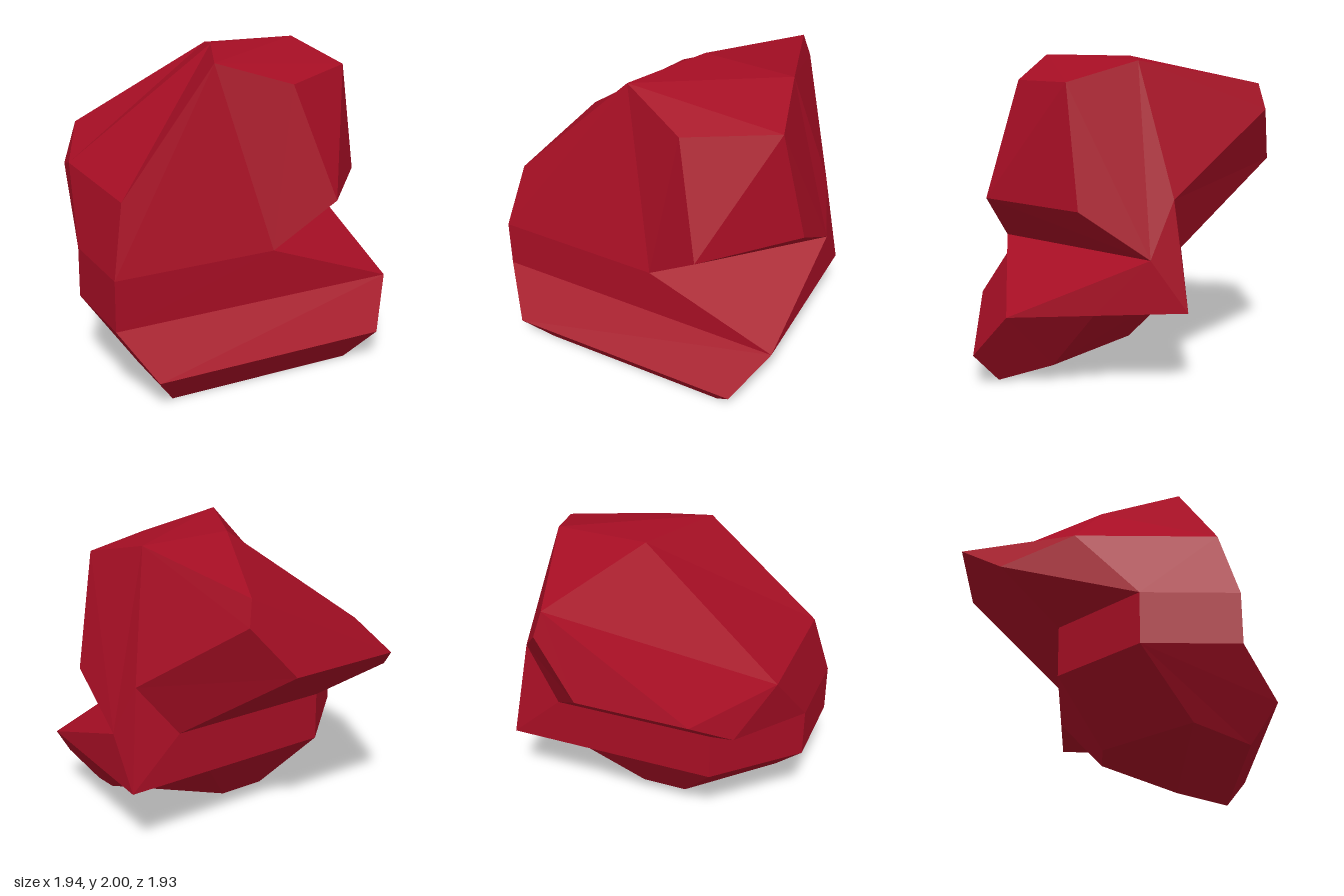
import * as THREE from 'three';

// Corner points of the faceted rock, grouped by level
const P = {
  // foot
  toeL: [-0.63, 0, 0.82], toeR: [0.63, 0, 0.82],
  noseL: [-0.78, 0.21, 0.97], noseR: [0.78, 0.21, 0.97],
  soleR: [0.7, 0.11, 0.48], soleL: [-0.71, 0.11, 0.48],
  heelR: [0.11, 0.11, -0.05], heelL: [-0.2, 0.11, -0.05],
  // lower rim of the middle band
  rimFL: [-0.97, 0.5, 0.76], rimFR: [0.97, 0.5, 0.76], rimR: [0.97, 0.5, 0.24],
  rimBR: [0.97, 0.5, -0.33], rimB: [0.4, 0.5, -0.33], rimBL: [-0.47, 0.5, -0.33], rimL: [-0.97, 0.5, 0.16],
  // upper rim of the middle band
  topFL: [-0.97, 0.83, 0.76], notchF: [0.11, 0.83, 0.76], notchR: [0.97, 0.83, -0.1],
  topB: [0.62, 0.83, -0.33], topBL: [-0.47, 0.83, -0.33], topL: [-0.97, 0.83, 0.16],
  // leaning head
  browF: [0.49, 1.14, 0.88], browR: [0.97, 1.13, 0.33], crestF: [0.28, 1.86, 0.67], crestR: [0.82, 1.88, 0.39],
  peakF: [-0.17, 2, 0.48], peakR: [0.69, 2, -0.05], peakB: [0.08, 2, -0.06],
  shoulderF: [-0.87, 1.27, 0.65], shoulderB: [-0.87, 1.27, -0.23],
  waist: [0.88, 1.18, -0.25], tailTop: [0.43, 1.84, -0.84], tailSide: [0.47, 1.68, -0.88],
  tailR: [0.18, 1.33, -0.96], tailL: [-0.55, 1.33, -0.96], tailCorner: [-0.74, 1.12, -0.69],
};

// Facets per part, corners counter-clockwise from outside
const parts = {
  foot: [
    'toeL toeR noseR noseL', 'noseL noseR rimFR rimFL',
    'rimFR noseR toeR soleR rimR', 'rimB rimR soleR heelR',
    'rimBL rimB heelR heelL', 'rimBL heelL soleL rimL',
    'rimL soleL toeL noseL rimFL',
    'toeR toeL soleL soleR', 'soleR soleL heelL heelR',
  ],
  middleBand: [
    'rimFL rimFR notchF topFL', 'notchF rimFR notchR',
    'notchR rimFR rimR rimBR', 'rimBR rimR rimB',
    'topB rimBR rimB rimBL topBL', 'rimL topL topBL rimBL', 'rimFL topFL topL rimL',
    'notchR rimBR waist', 'waist rimBR topB',
  ],
  head: [
    // front and notch
    'topFL notchF peakF shoulderF', 'notchF browF crestF peakF',
    'browF browR crestR crestF', 'browF notchF notchR browR',
    // top
    'peakF crestF crestR peakR peakB', 'shoulderF peakF peakB', 'shoulderF peakB shoulderB',
    'peakB peakR tailTop', 'peakB tailTop shoulderB', 'tailTop tailL shoulderB',
    // right side and overhanging back
    'crestR browR notchR peakR', 'peakR notchR waist', 'peakR waist tailSide tailTop',
    'waist topB tailR tailSide', 'tailTop tailSide tailR tailL',
    'tailR topB topBL tailCorner tailL',
    // left side
    'shoulderF shoulderB topL topFL', 'topL shoulderB tailCorner',
    'shoulderB tailL tailCorner', 'tailCorner topBL topL',
  ],
};

// Fans each facet into separate triangles so every edge stays hard
function facetGeometry(facets) {
  const pos = [];
  for (const facet of facets) {
    const c = facet.split(' ').map((n) => P[n]);
    for (let i = 1; i < c.length - 1; i++) pos.push(...c[0], ...c[i], ...c[i + 1]);
  }
  const g = new THREE.BufferGeometry();
  g.setAttribute('position', new THREE.Float32BufferAttribute(pos, 3));
  g.computeVertexNormals();
  return g;
}

export function createModel() {
  const group = new THREE.Group();
  group.name = 'facetedRock';
  const crimson = new THREE.MeshStandardMaterial({ color: 0xa60e24 });
  crimson.name = 'crimson';
  for (const [name, facets] of Object.entries(parts)) {
    const mesh = new THREE.Mesh(facetGeometry(facets), crimson);
    mesh.name = name;
    group.add(mesh);
  }
  return group;
}
